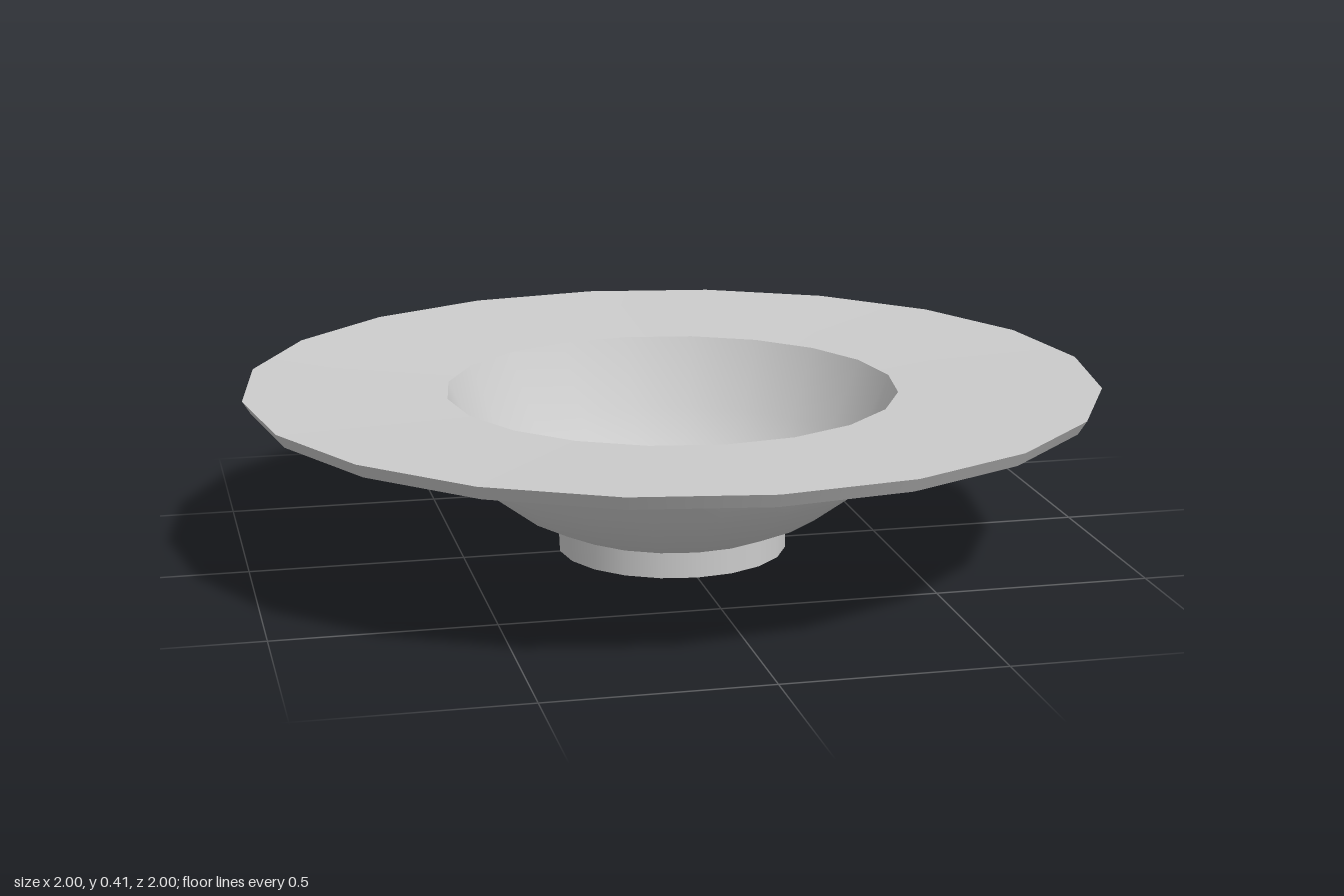
import * as THREE from 'three';

const SIDES = 20;

export function createModel() {
  const group = new THREE.Group();
  const material = new THREE.MeshStandardMaterial({ color: 0xcccccc });

  // Each section turns its own profile, so edges between sections stay sharp.
  const turn = (name, profile) => {
    const points = profile.map(([r, y]) => new THREE.Vector2(r, y));
    const mesh = new THREE.Mesh(new THREE.LatheGeometry(points, SIDES), material);
    mesh.name = name;
    group.add(mesh);
  };

  // Foot ring with a closed base
  turn('footBase', [[0, 0], [0.27, 0]]);
  turn('footSide', [[0.27, 0], [0.27, 0.06]]);

  // Rounded outside of the bowl
  turn('bowlOutside', [[0.27, 0.06], [0.36, 0.1], [0.485, 0.193], [0.58, 0.343]]);

  // Wide rim: underside, bevelled edge and gently dished top
  turn('rimUnderside', [[0.58, 0.343], [0.98, 0.373]]);
  turn('rimEdge', [[0.98, 0.373], [1, 0.405]]);
  turn('rimTop', [[1, 0.405], [0.53, 0.385]]);

  // Hollow of the bowl
  turn('bowlInside', [[0.53, 0.385], [0.45, 0.22], [0.35, 0.12], [0.27, 0.08]]);
  turn('bowlFloor', [[0.27, 0.08], [0, 0.08]]);

  return group;
}
